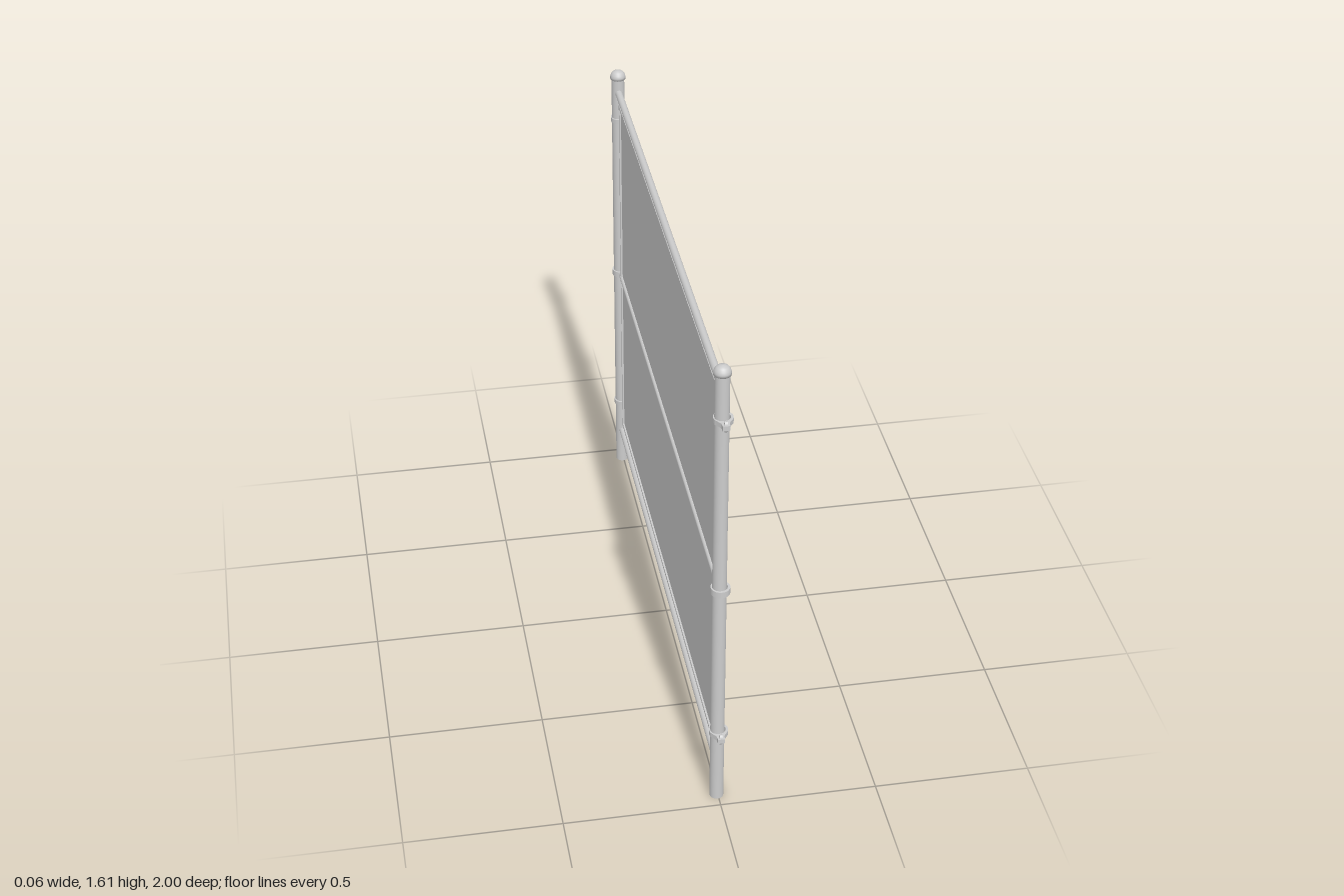
import * as THREE from 'three';

const grey = new THREE.MeshStandardMaterial({ color: 0xcccccc });
const POST_Z = 0.948, POST_X = -0.004, POST_R = 0.022;

function add(parent, name, geometry, x = 0, y = 0, z = 0) {
  const mesh = new THREE.Mesh(geometry, grey);
  mesh.name = name;
  mesh.position.set(x, y, z);
  parent.add(mesh);
  return mesh;
}

// Round bar lying along z
function bar(radius, length) {
  return new THREE.CylinderGeometry(radius, radius, length, 20).rotateX(Math.PI / 2);
}

// Flat ring or strap, extruded upwards; outline in x and outward z
function flatBand(shape, height) {
  const hole = new THREE.Path();
  hole.absarc(0, 0, POST_R, 0, Math.PI * 2, true);
  shape.holes.push(hole);
  return new THREE.ExtrudeGeometry(shape, { depth: height, bevelEnabled: false, curveSegments: 16 })
    .translate(0, 0, -height / 2).rotateX(Math.PI / 2);
}

// Strap round the post, tapering to a pinched outer tip
function strapShape() {
  const s = new THREE.Shape();
  s.moveTo(0.03, 0);
  s.lineTo(0.028, 0.012);
  s.lineTo(0.012, 0.034);
  s.lineTo(0.011, 0.05);
  s.lineTo(-0.011, 0.05);
  s.lineTo(-0.012, 0.034);
  s.lineTo(-0.028, 0.012);
  s.lineTo(-0.03, 0);
  s.absarc(0, 0, 0.03, Math.PI, Math.PI * 2, false);
  return s;
}

function createPost() {
  const post = new THREE.Group();
  post.name = 'post';
  add(post, 'postTube', new THREE.CylinderGeometry(POST_R, POST_R, 1.59, 32), 0, 0.795);

  // Domed cap with a short rim
  const profile = [[0, 1.58], [0.026, 1.58], [0.026, 1.589], [0.024, 1.597], [0.018, 1.605], [0.009, 1.609], [0, 1.61]]
    .map(([r, y]) => new THREE.Vector2(r, y));
  add(post, 'postCap', new THREE.LatheGeometry(profile, 32));

  // Two bolted straps that also hold the panel
  for (const y of [0.26, 1.427]) {
    const clamp = new THREE.Group();
    clamp.name = 'panelClamp';
    clamp.position.set(0.004, y, 0);
    post.add(clamp);
    add(clamp, 'strap', flatBand(strapShape(), 0.016));
    add(clamp, 'panelTab', new THREE.BoxGeometry(0.012, 0.014, 0.032), 0, 0, -0.037);
    const bolt = new THREE.CylinderGeometry(0.018, 0.018, 0.009, 20).rotateZ(Math.PI / 2).scale(1, 1, 0.5);
    add(clamp, 'boltHead', bolt, 0, 0, 0.04);
  }

  // Plain collar carrying the middle rod
  const collar = new THREE.Shape();
  collar.absarc(0, 0, 0.03, 0, Math.PI * 2, false);
  add(post, 'middleCollar', flatBand(collar, 0.021), 0.003, 0.815);
  return post;
}

export function createModel() {
  const model = new THREE.Group();
  model.name = 'framedScreen';

  // Posts, the second turned to face outwards the other way
  for (const side of [1, -1]) {
    const post = createPost();
    post.position.set(POST_X, 0, side * POST_Z);
    if (side < 0) {
      post.rotation.y = Math.PI;
      for (const part of post.children) part.position.x *= -1;
    }
    model.add(post);
  }

  // Rails and middle rod
  add(model, 'topRail', bar(0.012, 1.87), POST_X, 1.532);
  add(model, 'bottomRail', bar(0.012, 1.87), POST_X, 0.137);
  add(model, 'middleRod', bar(0.008, 1.86), -0.004, 0.815);

  // Thin panel with a hem along each edge
  const low = 0.18, high = 1.5, half = 0.902, hem = 0.01, mid = (low + high) / 2;
  add(model, 'panel', new THREE.BoxGeometry(0.006, high - low - hem, 2 * half - hem), 0, mid, 0);
  for (const y of [low + hem / 2, high - hem / 2])
    add(model, 'horizontalHem', new THREE.BoxGeometry(0.018, hem, 2 * half), 0, y, 0);
  for (const side of [1, -1])
    add(model, 'verticalHem', new THREE.BoxGeometry(0.018, high - low - 2 * hem, hem), 0, mid, side * (half - hem / 2));

  return model;
}
